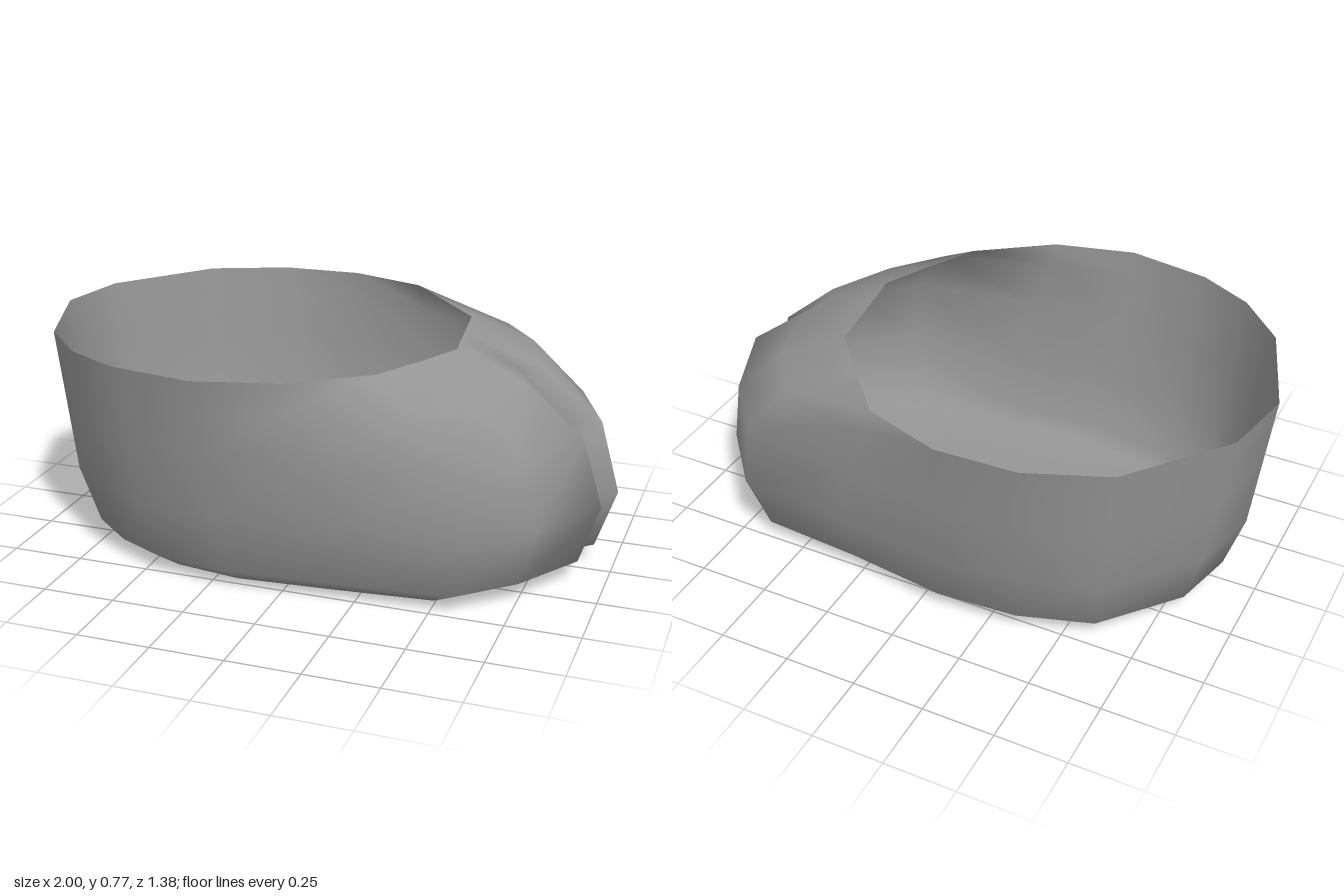
import * as THREE from 'three';

// Outlines as [x, z], running from the heel along -z to the toes and back along +z.
// Index 9 is the bottom of the cleft between the two toes.
const rim = [
  [-1, 0.01], [-0.95, -0.25], [-0.69, -0.57], [-0.42, -0.68], [-0.14, -0.69], [0.13, -0.6],
  [0.28, -0.43], [0.42, -0.27], [0.445, -0.08], [0.457, 0.02], [0.47, 0.1], [0.4, 0.25],
  [0.3, 0.44], [0.05, 0.62], [-0.23, 0.69], [-0.52, 0.64], [-0.71, 0.54], [-0.87, 0.37],
];
const belly = [
  [-0.94, 0.01], [-0.88, -0.24], [-0.65, -0.52], [-0.38, -0.61], [-0.08, -0.63], [0.3, -0.58],
  [0.68, -0.55], [0.86, -0.34], [1, -0.06], [0.66, 0.03], [0.97, 0.09], [0.81, 0.36],
  [0.62, 0.54], [0.2, 0.58], [-0.2, 0.61], [-0.48, 0.57], [-0.66, 0.48], [-0.82, 0.34],
];
// Toe points (indices 6 to 12) of the two levels between belly and rim
const toesMid = [[0.65, -0.55], [0.81, -0.36], [0.93, -0.07], [0.66, 0.03], [0.9, 0.1], [0.75, 0.36], [0.58, 0.53]];
const toesTop = [[0.5, -0.52], [0.63, -0.35], [0.71, -0.08], [0.66, 0.03], [0.7, 0.11], [0.59, 0.33], [0.45, 0.5]];
const CLEFT = 9;

const shrink = (s, sz, cleftX) => belly.map(([x, z], i) =>
  i === CLEFT ? [cleftX, z] : [x * s, Math.abs(z) < 0.1 ? z : z * sz]);

// Blend the walls from belly to rim, with the toes bulging forward
const blend = (t, toes) => belly.map(([x, z], i) =>
  toes[i - 6] ?? [THREE.MathUtils.lerp(x, rim[i][0], t), THREE.MathUtils.lerp(z, rim[i][1], t)]);

function hoofGeometry() {
  const levels = [
    { y: 0.01, cleftY: 0.03, ring: shrink(0.42, 0.45, 0.34) },
    { y: 0.02, cleftY: 0.05, ring: shrink(0.81, 0.82, 0.58) },
    { y: 0.065, cleftY: 0.09, ring: shrink(0.93, 0.9, 0.64) },
    { y: 0.27, ring: belly },
    { y: 0.51, ring: blend(0.48, toesMid) },
    { y: 0.68, cleftY: 0.7, ring: blend(0.82, toesTop) },
    { y: 0.77, ring: rim },
  ];
  const n = rim.length;
  const positions = [];
  const index = [];
  for (const { y, cleftY = y, ring } of levels) {
    ring.forEach(([x, z], i) => positions.push(x, i === CLEFT ? cleftY : y, z));
  }
  // Sole border and wall between neighbouring levels
  for (let l = 0; l < levels.length - 1; l++) {
    for (let i = 0; i < n; i++) {
      const a = l * n + i;
      const b = l * n + ((i + 1) % n);
      index.push(a, a + n, b, b, a + n, b + n);
    }
  }
  // Slightly domed middle of the sole
  const centre = positions.length / 3;
  positions.push(-0.08, 0, 0);
  for (let i = 0; i < n; i++) index.push(centre, i, (i + 1) % n);

  const geometry = new THREE.BufferGeometry();
  geometry.setAttribute('position', new THREE.Float32BufferAttribute(positions, 3));
  geometry.setIndex(index);
  geometry.computeVertexNormals();
  return geometry;
}

export function createModel() {
  const group = new THREE.Group();
  group.name = 'clovenHoof';
  // Open-topped dark grey shell, visible from inside
  const material = new THREE.MeshStandardMaterial({ color: 0x959595, side: THREE.DoubleSide });
  const shell = new THREE.Mesh(hoofGeometry(), material);
  shell.name = 'hoofShell';
  group.add(shell);
  return group;
}
